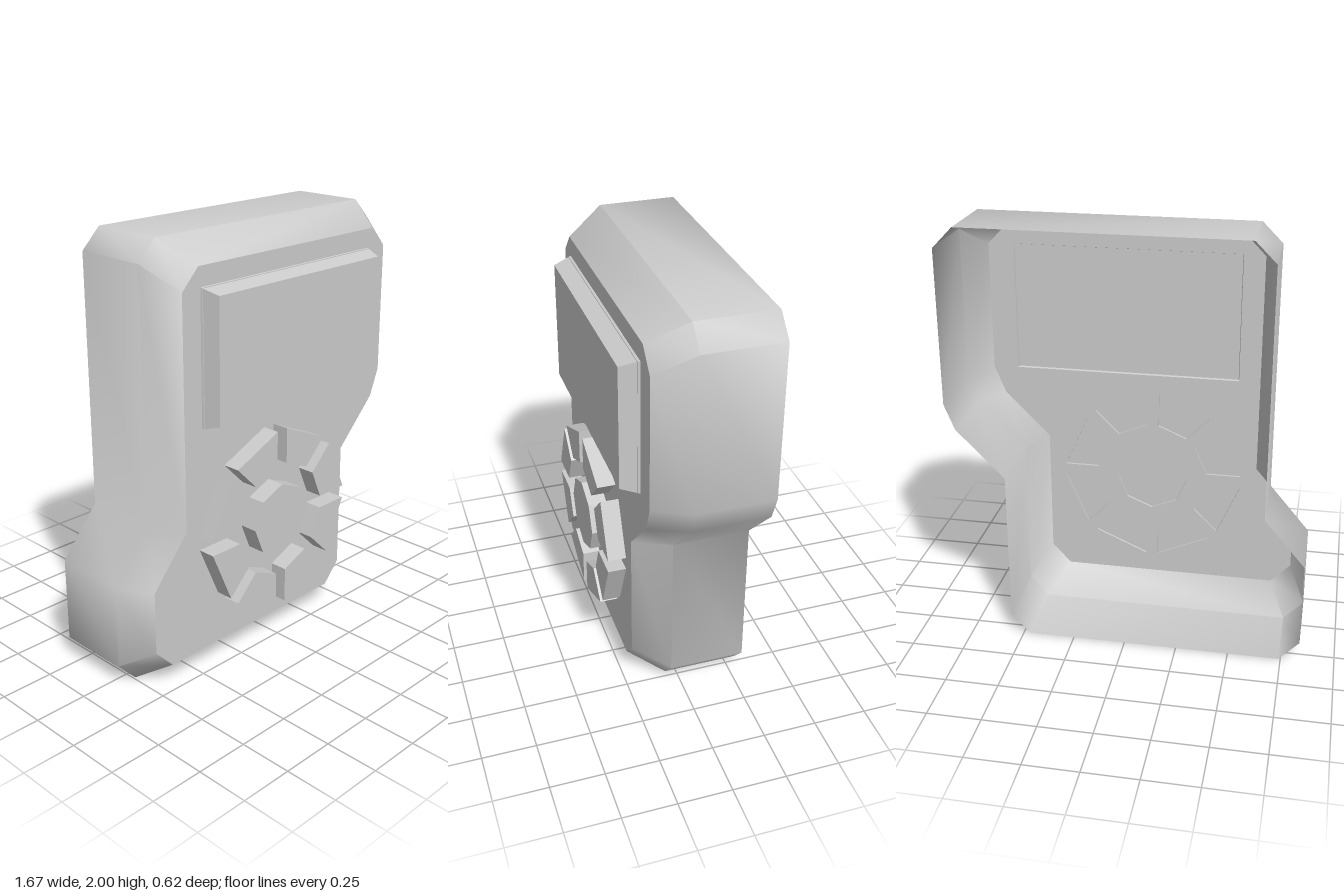
import * as THREE from 'three';
import { toCreasedNormals } from 'three/addons/utils/BufferGeometryUtils.js';

const material = new THREE.MeshStandardMaterial({ color: 0xcccccc, side: THREE.DoubleSide });
const FACE_Z = 0.22, TOP_Z = 0.305, RECESS_Z = 0.232;

const toShape = (points) => new THREE.Shape(points.map(([x, y]) => new THREE.Vector2(x, y)));

function addMesh(parent, name, geometry) {
  const mesh = new THREE.Mesh(geometry, material);
  mesh.name = name;
  parent.add(mesh);
  return mesh;
}

// Flat plate in the xy plane at height z, with optional holes
function addPlate(parent, name, points, z, holes = []) {
  const shape = toShape(points);
  shape.holes = holes.map((h) => new THREE.Path(toShape(h).getPoints().reverse()));
  addMesh(parent, name, new THREE.ShapeGeometry(shape)).position.z = z;
}

// Open wall joining counter-clockwise outlines given as [points, z], back to front
function wallGeometry(rings, crease) {
  const positions = [];
  for (let r = 0; r + 1 < rings.length; r++) {
    const [back, z0] = rings[r], [front, z1] = rings[r + 1];
    back.forEach((p, i) => {
      const j = (i + 1) % back.length;
      const a = [...p, z0], b = [...back[j], z0], c = [...front[j], z1], d = [...front[i], z1];
      positions.push(...a, ...b, ...c, ...a, ...c, ...d);
    });
  }
  const geometry = new THREE.BufferGeometry();
  geometry.setAttribute('position', new THREE.Float32BufferAttribute(positions, 3));
  geometry.computeVertexNormals();
  return toCreasedNormals(geometry, crease);
}

// Raised part: wall, front cap, and a back plate slightly recessed behind the face
function addRaised(parent, name, base, top = base, topZ = TOP_Z) {
  const group = new THREE.Group();
  group.name = name;
  addMesh(group, name + 'Sides', wallGeometry([[base, FACE_Z], [top, topZ]], 0.2));
  addPlate(group, name + 'Front', top, topZ);
  addPlate(group, name + 'Back', base, RECESS_Z);
  parent.add(group);
}

const rect = (x0, y0, x1, y1) => [[x0, y0], [x1, y0], [x1, y1], [x0, y1]];

export function createModel() {
  const model = new THREE.Group();
  model.name = 'handheldDevice';

  // Casing outline, and the smaller outline of its front face
  const outer = [
    [-0.74, 0], [0.47, 0], [0.56, 0.1], [0.56, 0.83], [0.785, 1.06], [0.833, 1.18], [0.833, 1.905],
    [0.74, 2], [-0.55, 2], [-0.645, 1.905], [-0.645, 0.73], [-0.835, 0.505], [-0.835, 0.1],
  ];
  const inner = [
    [-0.66, 0.107], [0.39, 0.107], [0.482, 0.206], [0.482, 0.83], [0.7, 1.05], [0.752, 1.18], [0.752, 1.8],
    [0.66, 1.895], [-0.47, 1.895], [-0.562, 1.8], [-0.562, 0.73], [-0.755, 0.505], [-0.755, 0.206],
  ];

  // Screen block with tapering sides
  const screenBase = rect(-0.46, 1.185, 0.63, 1.805);
  const screenTop = rect(-0.435, 1.21, 0.605, 1.78);

  // Round pad: an octagon in the middle of eight wedge buttons
  const cx = -0.042, cy = 0.648;
  const octagon = Array.from({ length: 8 }, (_, i) => {
    const a = (i * Math.PI) / 4;
    return [cx + 0.177 * Math.cos(a), cy + 0.177 * Math.sin(a)];
  });
  const wedge = [[0.031, 0.273], [0.169, 0.214], [0.285, 0.331], [0.031, 0.442]];
  const mirrored = wedge.map(([x, y]) => [y, x]).reverse();
  const wedges = [];
  for (let q = 0; q < 4; q++) {
    const c = Math.round(Math.cos((q * Math.PI) / 2)), s = Math.round(Math.sin((q * Math.PI) / 2));
    for (const w of [wedge, mirrored]) {
      wedges.push(w.map(([x, y]) => [cx + x * c - y * s, cy + x * s + y * c]));
    }
  }

  // Open-backed casing
  addMesh(model, 'casingWall', wallGeometry([[outer, -0.308], [outer, 0.05], [inner, FACE_Z]], 0.85));
  addPlate(model, 'casingFace', inner, FACE_Z, [screenBase, octagon, ...wedges]);

  addRaised(model, 'screen', screenBase, screenTop);
  addRaised(model, 'centreButton', octagon, octagon, 0.308);
  wedges.forEach((w, i) => addRaised(model, 'padButton' + (i + 1), w));

  return model;
}
